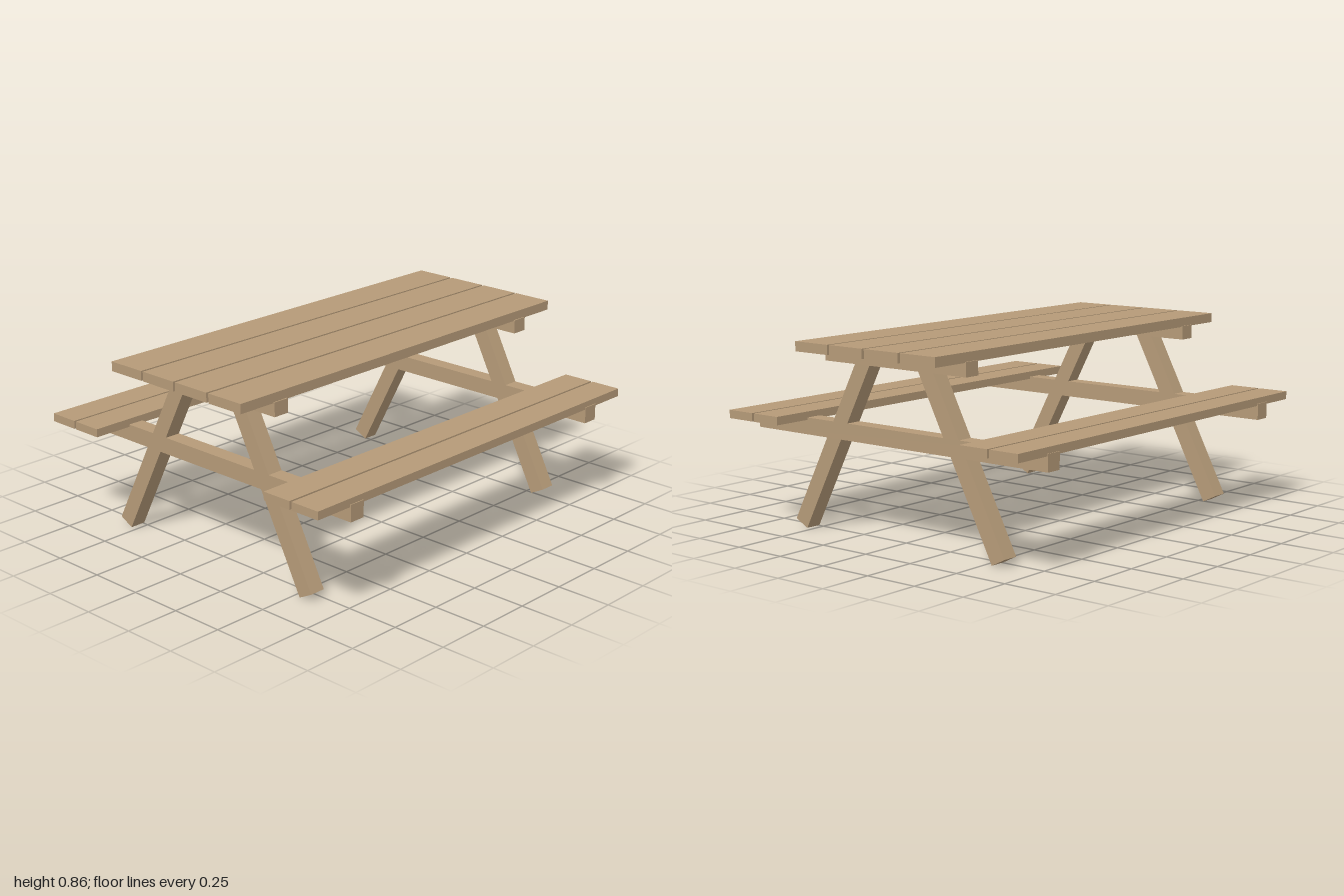
import * as THREE from 'three';

export function createModel() {
  const group = new THREE.Group();
  const wood = new THREE.MeshStandardMaterial({ color: 0xb59a78 });
  wood.name = 'wood';

  // Adds a straight timber centred at (x, y, z)
  function timber(name, sx, sy, sz, x, y, z) {
    const mesh = new THREE.Mesh(new THREE.BoxGeometry(sx, sy, sz), wood);
    mesh.name = name;
    mesh.position.set(x, y, z);
    group.add(mesh);
    return mesh;
  }

  // Long boards, mirrored front and back
  for (const side of [-1, 1]) {
    for (const z of [0.1, 0.3]) timber('tablePlank', 2, 0.043, 0.188, 0, 0.8405, side * z);
    for (const z of [0.589, 0.744]) timber('seatPlank', 2, 0.037, 0.144, 0, 0.5055, side * z);
  }

  // Two trestles: cross beams and a pair of splayed legs
  const thick = 0.075;
  const foot = { z: 0.565, y: 0.0172 };
  const head = { z: 0.16, y: 0.8 };
  const legLength = Math.hypot(foot.z - head.z, head.y - foot.y);
  const splay = Math.atan2(foot.z - head.z, head.y - foot.y);
  for (const x of [-0.78, 0.78]) {
    timber('tableBeam', thick, 0.063, 0.8, x, 0.7915, 0);
    timber('seatBeam', thick, 0.075, 1.64, x, 0.46, 0);
    for (const side of [-1, 1]) {
      const leg = timber('leg', thick, legLength, thick, x, (foot.y + head.y) / 2, side * (foot.z + head.z) / 2);
      leg.rotation.x = -side * splay;
    }
  }
  return group;
}
